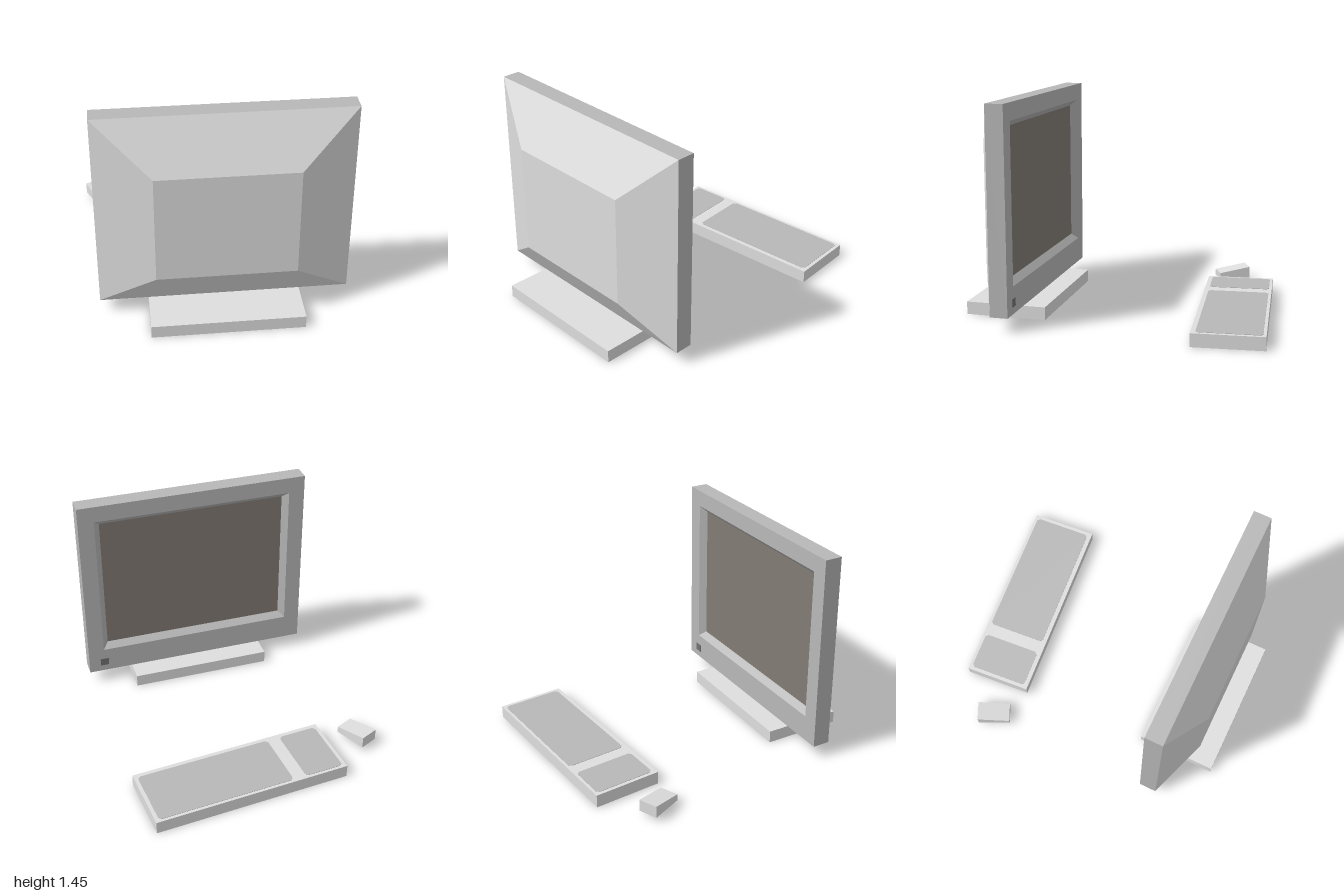
import * as THREE from 'three';

const mat = (name, color, side = THREE.FrontSide) => {
  const m = new THREE.MeshStandardMaterial({ color, side });
  m.name = name;
  return m;
};

// Upright rectangle (half width, bottom, top, depth)
const upright = (w, y0, y1, z) => [[-w, y0, z], [w, y0, z], [w, y1, z], [-w, y1, z]];
// Lying rectangle (half width, half depth, front height, back height)
const lying = (w, d, yf, yb = yf) => [[-w, yf, d], [w, yf, d], [w, yb, -d], [-w, yb, -d]];

// Flat-sided skin through four-cornered rings, optionally capped at the last one
function loft(rings, cap) {
  const pos = [];
  const quad = (a, b, c, d) => pos.push(...a, ...b, ...c, ...a, ...c, ...d);
  for (let r = 0; r < rings.length - 1; r++) {
    for (let i = 0; i < 4; i++) {
      const j = (i + 1) % 4;
      quad(rings[r][i], rings[r][j], rings[r + 1][j], rings[r + 1][i]);
    }
  }
  if (cap) quad(...rings[rings.length - 1]);
  const g = new THREE.BufferGeometry();
  g.setAttribute('position', new THREE.Float32BufferAttribute(pos, 3));
  g.computeVertexNormals();
  return g;
}

// Thin plate with clipped corners, lying flat and centred on y = 0
function keyPlate(w, d, c, t) {
  const x = w / 2, y = d / 2;
  const s = new THREE.Shape([
    [-x + c, -y], [x - c, -y], [x, -y + c], [x, y - c],
    [x - c, y], [-x + c, y], [-x, y - c], [-x, -y + c],
  ].map(p => new THREE.Vector2(...p)));
  const g = new THREE.ExtrudeGeometry(s, { depth: t, bevelEnabled: false });
  return g.translate(0, 0, -t / 2).rotateX(-Math.PI / 2);
}

export function createModel() {
  const light = mat('lightPlastic', 0xdedede, THREE.DoubleSide);
  const grey = mat('greyPlastic', 0xb8b8b8);
  const glass = mat('screenGlass', 0x827b74);
  const dark = mat('darkButton', 0x747272);

  const model = new THREE.Group();
  model.name = 'desktopComputer';
  const add = (parent, name, geo, material, x = 0, y = 0, z = 0, ry = 0) => {
    const m = new THREE.Mesh(geo, material);
    m.name = name;
    m.position.set(x, y, z);
    m.rotation.y = ry;
    parent.add(m);
    return m;
  };

  // Monitor: bezel with bevelled recess, tapered housing, screen and button
  const turn = -0.087;
  const monitor = new THREE.Group();
  monitor.name = 'monitor';
  monitor.position.set(-0.035, 0, 0.605);
  monitor.rotation.y = turn;
  model.add(monitor);
  const rim = z => upright(0.813, 0.095, 1.445, z);
  add(monitor, 'bezel', loft([
    upright(0.66, 0.315, 1.29, -0.018), upright(0.70, 0.275, 1.33, -0.06), rim(-0.06), rim(0.06),
  ]), grey);
  add(monitor, 'housing', loft([rim(0.06), upright(0.45, 0.36, 1.10, 0.22)], true), light);
  add(monitor, 'screen', new THREE.PlaneGeometry(1.32, 0.975), glass, 0, 0.8025, -0.018, Math.PI);
  add(monitor, 'powerButton', new THREE.BoxGeometry(0.06, 0.055, 0.006), dark, 0.70, 0.17, -0.06);

  // Monitor base, hollow underneath
  add(model, 'base', loft([lying(0.496, 0.273, 0), lying(0.496, 0.273, 0.086)], true),
    light, -0.042, 0, 0.68, turn);

  // Keyboard tray with two key fields
  const keyboard = new THREE.Group();
  keyboard.name = 'keyboard';
  keyboard.position.set(0.185, 0, -0.77);
  model.add(keyboard);
  add(keyboard, 'keyboardShell', loft([lying(0.665, 0.23, 0), lying(0.665, 0.23, 0.088)], true), light);
  add(keyboard, 'numberPad', keyPlate(0.265, 0.41, 0.018, 0.005), grey, -0.5075, 0.088, -0.005);
  add(keyboard, 'mainKeys', keyPlate(0.925, 0.41, 0.018, 0.005), grey, 0.1775, 0.088, -0.005);

  // Mouse: small hollow wedge
  add(model, 'mouse', loft([lying(0.065, 0.112, 0.03), lying(0.065, 0.112, 0.075, 0.112)], true),
    light, -0.718, 0, -0.695, 0.355);

  return model;
}
